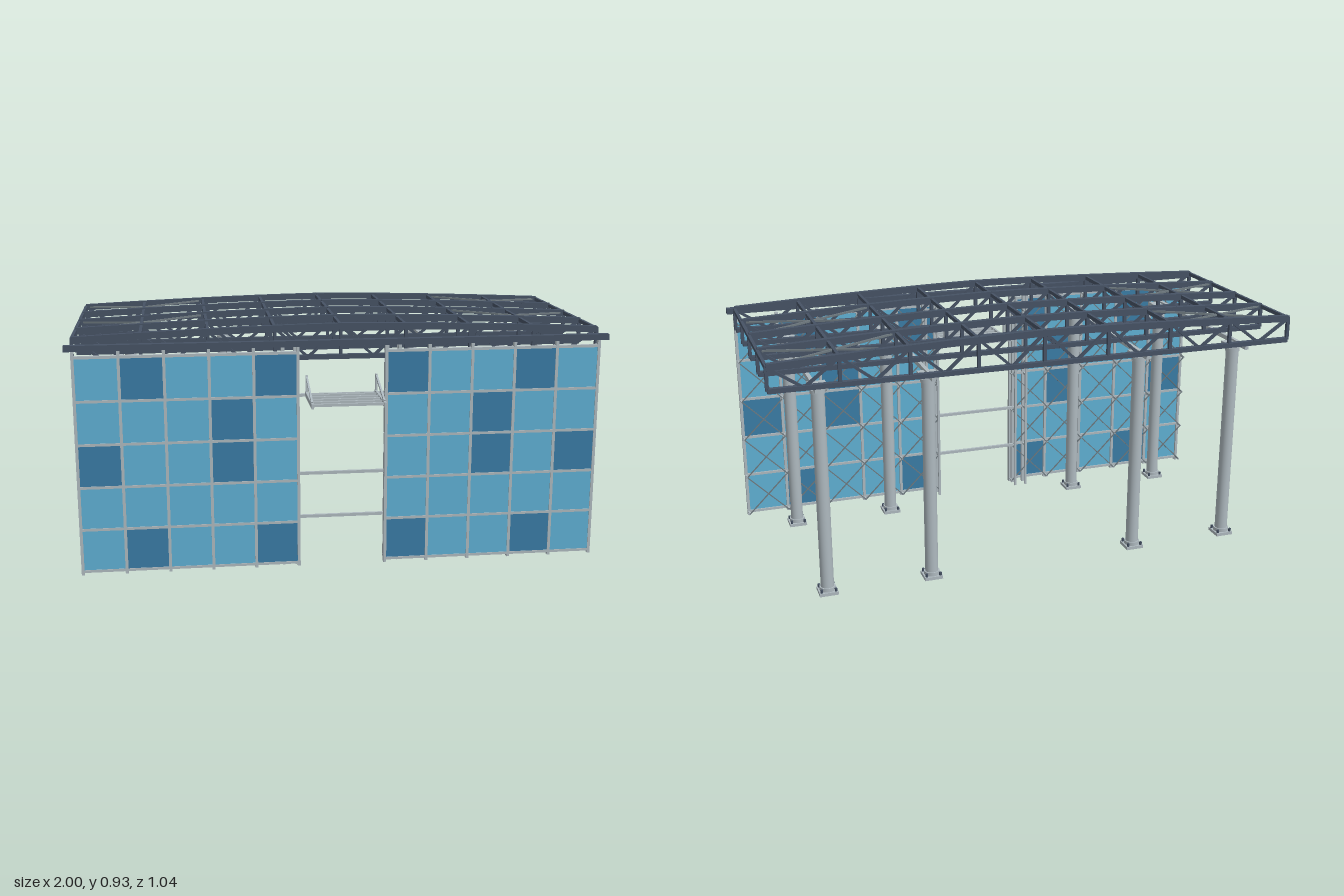
import * as THREE from 'three';

const mat = (name, color) => {
  const m = new THREE.MeshStandardMaterial({ color });
  m.name = name;
  return m;
};

export function createModel() {
  const steel = mat('dark steel', 0x465264);
  const grey = mat('light grey steel', 0xaeb9bf);
  const rod = mat('rod grey', 0x6f7a80);
  const glassLight = mat('light blue glass', 0x5fb0d3);
  const glassDark = mat('dark blue glass', 0x3a7ca5);
  const root = new THREE.Group();

  const group = (name, parent = root) => {
    const g = new THREE.Group();
    g.name = name;
    parent.add(g);
    return g;
  };
  const box = (parent, name, m, w, h, d, x, y, z) => {
    const b = new THREE.Mesh(new THREE.BoxGeometry(w, h, d), m);
    b.name = name;
    b.position.set(x, y, z);
    parent.add(b);
    return b;
  };
  // Straight bar between two points, w wide and h deep
  const bar = (parent, name, m, a, b, w, h = w) => {
    const p = new THREE.Vector3(...a), q = new THREE.Vector3(...b);
    const mesh = new THREE.Mesh(new THREE.BoxGeometry(w, h, p.distanceTo(q)), m);
    mesh.name = name;
    mesh.position.copy(p).add(q).multiplyScalar(0.5);
    mesh.lookAt(q);
    parent.add(mesh);
  };
  const drum = (parent, name, m, r, y0, y1, x, z, sides = 24) => {
    const c = new THREE.Mesh(new THREE.CylinderGeometry(r, r, y1 - y0, sides), m);
    c.name = name;
    c.position.set(x, (y0 + y1) / 2, z);
    parent.add(c);
  };

  // Columns with base plates, bolts and caps
  const columnX = [-0.795, -0.405, 0.405, 0.795];
  for (const x of columnX) for (const z of [0.207, -0.425]) {
    const c = group('column');
    c.position.set(x, 0, z);
    box(c, 'basePlate', grey, 0.068, 0.012, 0.068, 0, 0.006, 0);
    drum(c, 'baseRing', grey, 0.029, 0.012, 0.026, 0, 0);
    for (const i of [-1, 1]) for (const j of [-1, 1])
      drum(c, 'bolt', steel, 0.005, 0.012, 0.024, i * 0.026, j * 0.026, 6);
    drum(c, 'shaft', grey, 0.024, 0.02, 0.78, 0, 0);
    drum(c, 'collar', grey, 0.027, 0.757, 0.776, 0, 0);
    box(c, 'capPlate', grey, 0.064, 0.015, 0.064, 0, 0.783, 0);
  }

  // Beams that join the columns front to back
  for (const x of [-0.81, -0.405, 0.405, 0.81])
    box(root, 'crossBeam', grey, 0.014, 0.017, 0.835, x, 0.789, -0.0875);

  // Five arched roof trusses
  const half = 0.975, panels = 16, lowY = 0.807;
  const nodeX = (k) => -half + (2 * half * k) / panels;
  const topY = (x) => 0.92 - 0.031 * Math.pow(Math.abs(x) / half, 1.5);
  const trussZ = [0.292, 0.091, -0.109, -0.309, -0.508];
  for (const z of trussZ) {
    const t = group('roofTruss');
    box(t, 'bottomChord', steel, 2 * half, 0.017, 0.02, 0, lowY, z);
    for (let k = 0; k <= panels; k++) {
      const x = nodeX(k), y = topY(x);
      if (k % 2 === 0) bar(t, 'post', steel, [x, lowY, z], [x, y, z], 0.012);
      if (k === panels) break;
      const x2 = nodeX(k + 1), y2 = topY(x2);
      bar(t, 'topChord', steel, [x, y, z], [x2, y2, z], 0.02, 0.024);
      if (k % 2 === 0) bar(t, 'diagonal', steel, [x, y, z], [x2, lowY, z], 0.01);
      else bar(t, 'diagonal', steel, [x, lowY, z], [x2, y2, z], 0.01);
    }
  }

  // Purlins and flat cross bracing
  for (let k = 0; k <= panels; k += 2) {
    const x = nodeX(k);
    box(root, 'purlin', steel, 0.011, 0.014, 0.81, x, topY(x), -0.108);
  }
  for (const s of [-1, 1]) for (const [za, zb] of [[0.091, -0.109], [-0.309, -0.508]]) {
    const xa = s * 0.487, xb = s * half;
    bar(root, 'roofBrace', rod, [xa, topY(xa), za], [xb, topY(xb), zb], 0.007);
    bar(root, 'roofBrace', rod, [xa, topY(xa), zb], [xb, topY(xb), za], 0.007);
  }

  // Eaves beam over the facade
  box(root, 'eavesBeam', steel, 2, 0.022, 0.026, 0, 0.87, 0.354);

  // Glazed wings: 5 by 5 panes, rows listed from the top
  const darkPanes = [
    ['01001', '10010'], ['00010', '00100'], ['10010', '00101'],
    ['00000', '00000'], ['01001', '10010'],
  ];
  const cell = 0.1615, bottom = 0.025;
  [-0.972, 0.1645].forEach((x0, side) => {
    const w = group(side ? 'leftWing' : 'rightWing');
    for (let c = 0; c <= 5; c++) {
      const x = x0 + c * cell;
      box(w, 'mullion', grey, 0.011, 0.845, 0.017, x, 0.4335, 0.334);
      for (let r = 0; r <= 5; r++)
        box(w, 'strut', grey, 0.006, 0.006, 0.034, x, bottom + r * cell, 0.313);
    }
    for (let r = 0; r <= 5; r++)
      box(w, 'rail', grey, 5 * cell, 0.01, 0.014, x0 + 2.5 * cell, bottom + r * cell, 0.335);
    for (let r = 0; r < 5; r++) for (let c = 0; c < 5; c++) {
      const x = x0 + c * cell, y = bottom + (4 - r) * cell;
      const m = darkPanes[r][side][c] === '1' ? glassDark : glassLight;
      box(w, 'pane', m, cell, cell, 0.005, x + cell / 2, y + cell / 2, 0.337);
      bar(w, 'tieRod', rod, [x, y, 0.298], [x + cell, y + cell, 0.298], 0.004);
      bar(w, 'tieRod', rod, [x, y + cell, 0.298], [x + cell, y, 0.298], 0.004);
    }
  });

  // Built-up jambs beside the opening
  for (const s of [-1, 1]) {
    const j = group('doorJamb');
    for (const x of [0.171, 0.218]) {
      box(j, 'jambPost', grey, 0.012, 0.845, 0.013, s * x, 0.4335, 0.3145);
      box(j, 'rearPost', grey, 0.009, 0.845, 0.009, s * x, 0.4335, 0.276);
    }
    for (const y of [0.19, 0.36, 0.51, 0.67, 0.82]) {
      box(j, 'jambTie', grey, 0.05, 0.008, 0.008, s * 0.194, y, 0.312);
      for (const x of [0.171, 0.218])
        box(j, 'jambSpacer', grey, 0.006, 0.008, 0.04, s * x, y, 0.295);
    }
  }

  // Bars across the opening
  for (const y of [0.193, 0.363, 0.665])
    box(root, 'openingBar', grey, 0.335, 0.011, 0.011, 0, y, 0.296);

  // Entrance canopy
  const canopy = group('canopy');
  for (const s of [-1, 1]) {
    box(canopy, 'canopyArm', grey, 0.009, 0.018, 0.215, s * 0.13, 0.671, 0.4125);
    bar(canopy, 'canopyStay', grey, [s * 0.13, 0.68, 0.495], [s * 0.13, 0.735, 0.32], 0.007, 0.009);
    box(canopy, 'canopyPost', grey, 0.008, 0.08, 0.01, s * 0.13, 0.702, 0.312);
  }
  for (let i = 0; i < 5; i++)
    box(canopy, 'canopySlat', grey, 0.26, 0.01, 0.009, 0, 0.672, 0.345 + i * 0.0395);

  return root;
}
